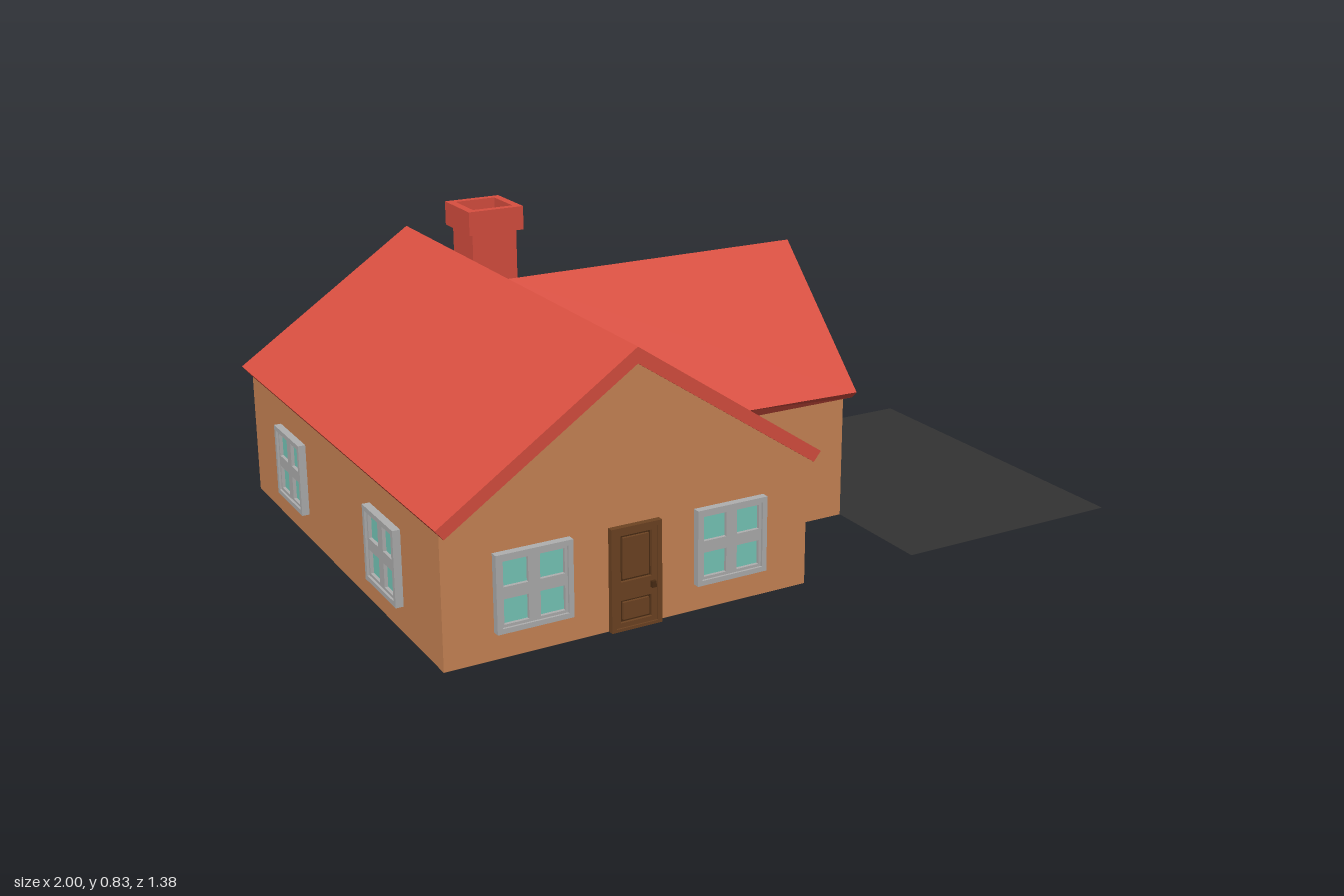
import * as THREE from 'three';

const mat = (color) => new THREE.MeshStandardMaterial({ color, side: THREE.DoubleSide, flatShading: true });
const WALL = mat(0xcb8656), ROOF = mat(0xd94f40), FRAME = mat(0xb0b0b0), GLASS = mat(0x78cabb);
const DOOR = mat(0x6e4423), DARK = mat(0x4a2c14), ASPHALT = mat(0x333333);

function add(parent, name, geometry, material, x = 0, y = 0, z = 0) {
  const mesh = new THREE.Mesh(geometry, material);
  mesh.name = name;
  mesh.position.set(x, y, z);
  parent.add(mesh);
  return mesh;
}

const box = (w, h, d) => new THREE.BoxGeometry(w, h, d);

// Closed rectangle path from corner to corner
function rect(PathType, x0, y0, x1, y1) {
  return new PathType([[x0, y0], [x1, y0], [x1, y1], [x0, y1]].map((p) => new THREE.Vector2(...p)));
}

// Plate in the xy plane with rectangular holes
function plate(outer, holes, depth) {
  const shape = rect(THREE.Shape, ...outer);
  shape.holes = holes.map((h) => rect(THREE.Path, ...h));
  return new THREE.ExtrudeGeometry(shape, { depth, bevelEnabled: false });
}

// Flat convex polygons as one geometry
function polygons(list) {
  const pos = [];
  for (const p of list)
    for (let i = 1; i < p.length - 1; i++) pos.push(...p[0], ...p[i], ...p[i + 1]);
  const g = new THREE.BufferGeometry();
  g.setAttribute('position', new THREE.Float32BufferAttribute(pos, 3));
  g.computeVertexNormals();
  return g;
}

// Slab between matching top and bottom outlines
function slab(top, bottom) {
  const sides = top.map((p, i) => {
    const j = (i + 1) % top.length;
    return [p, bottom[i], bottom[j], top[j]];
  });
  return polygons([top, [...bottom].reverse(), ...sides]);
}

// Four-pane window, its back on the wall, facing +z
function makeWindow() {
  const g = new THREE.Group();
  g.name = 'window';
  const h = 0.098, r = 0.085, a = 0.015, b = 0.078;
  add(g, 'windowRim', plate([-h, -h, h, h], [[-r, -r, r, r]], 0.024), FRAME, 0, 0, -0.004);
  const panes = [[-b, -b, -a, -a], [a, -b, b, -a], [a, a, b, b], [-b, a, -a, b]];
  add(g, 'windowBars', plate([-r, -r, r, r], panes, 0.012), FRAME, 0, 0, 0.002);
  add(g, 'glass', new THREE.PlaneGeometry(2 * r, 2 * r), GLASS, 0, 0, 0.005);
  return g;
}

function makeFrontDoor() {
  const g = new THREE.Group();
  g.name = 'frontDoor';
  add(g, 'doorSurround', plate([-0.068, 0, 0.068, 0.265], [[-0.056, 0.008, 0.056, 0.253]], 0.02), DOOR, 0, 0, -0.004);
  const panels = [[-0.042, 0.125, 0.042, 0.243], [-0.042, 0.02, 0.042, 0.078]];
  add(g, 'doorLeaf', plate([-0.056, 0.008, 0.056, 0.253], panels, 0.01), DOOR, 0, 0, 0.002);
  add(g, 'doorRecess', new THREE.PlaneGeometry(0.112, 0.245), DARK, 0, 0.13, 0.004);
  for (const [x0, y0, x1, y1] of panels)
    add(g, 'doorPanel', box(x1 - x0 - 0.014, y1 - y0 - 0.014, 0.008), DOOR, 0, (y0 + y1) / 2, 0.007);
  add(g, 'doorHandle', box(0.012, 0.016, 0.01), DARK, 0.044, 0.105, 0.016);
  return g;
}

function makeGarageDoor() {
  const g = new THREE.Group();
  g.name = 'garageDoor';
  add(g, 'garageFrame', plate([-0.265, 0, 0.265, 0.265], [[-0.25, 0.003, 0.25, 0.25]], 0.02), FRAME, 0, 0, -0.004);
  add(g, 'garageBacking', new THREE.PlaneGeometry(0.5, 0.25), FRAME, 0, 0.125, 0.003);
  // Overlapping slats, each leaning out at its foot
  const rows = 6, step = 0.25 / rows;
  for (let i = 0; i < rows; i++) {
    const slat = add(g, 'garageSlat', box(0.49, step - 0.003, 0.005), FRAME, 0, (i + 0.5) * step, 0.007);
    slat.rotation.x = -0.1;
  }
  return g;
}

export function createModel() {
  const house = new THREE.Group();
  house.name = 'house';

  // Walls: main block and garage wing form one open shell
  const W = -0.98, M = -0.49, E = 0, G = 0.34, D = 0.66, S = 0.33, H = 0.337, P = 0.665;
  const wallList = [
    [[W, 0, -D], [W, 0, D], [W, H, D], [W, H, -D]],
    [[G, 0, S], [G, 0, -S], [G, H, -S], [G, P, 0], [G, H, S]],
  ];
  for (const s of [1, -1]) {
    const faces = [
      [[W, 0, s * D], [E, 0, s * D], [E, H, s * D], [M, P, s * D], [W, H, s * D]],
      [[E, 0, s * D], [E, 0, s * S], [E, H, s * S], [E, H, s * D]],
      [[E, 0, s * S], [G, 0, s * S], [G, H, s * S], [E, H, s * S]],
    ];
    wallList.push(...faces.map((f) => (s > 0 ? f : f.reverse())));
  }
  add(house, 'walls', polygons(wallList), WALL);

  // Roof: full west slope, then east and wing slopes meeting in valleys
  const roof = new THREE.Group();
  roof.name = 'roof';
  house.add(roof);
  const R = 0.705, T = 0.36, B = 0.335, L = 0.69, X = 0.37;
  add(roof, 'westSlope', slab(
    [[M, R, -L], [-1, T, -L], [-1, T, L], [M, R, L]],
    [[M, P, -L], [W, B, -L], [W, B, L], [M, P, L]]), ROOF);
  for (const s of [1, -1]) {
    const order = (pts) => {
      const out = pts.map(([x, y, z]) => [x, y, s * z]);
      return s > 0 ? out : out.reverse();
    };
    add(roof, 'eastSlope', slab(
      order([[M, R, 0], [M, R, L], [0.02, T, L], [0.02, T, 0.345]]),
      order([[M, P, 0], [M, P, L], [0, B, L], [0, B, S]])), ROOF);
    add(roof, 'wingSlope', slab(
      order([[M, R, 0], [0.02, T, 0.345], [X, 0.355, 0.35], [X, R, 0]]),
      order([[M, P, 0], [0, B, S], [X, B, S], [X, P, 0]])), ROOF);
  }

  // Chimney: square stack with a wider hollow cap
  const chimney = new THREE.Group();
  chimney.name = 'chimney';
  chimney.position.set(-0.405, 0, -0.33);
  house.add(chimney);
  add(chimney, 'chimneyStack', box(0.13, 0.19, 0.13), ROOF, 0, 0.675, 0);
  const cap = plate([-0.08, -0.08, 0.08, 0.08], [[-0.058, -0.058, 0.058, 0.058]], 0.065);
  add(chimney, 'chimneyCap', cap.rotateX(-Math.PI / 2), ROOF, 0, 0.765, 0);

  // Windows, two on each side of the main block: x, z, heading
  const Y = 0.168, Q = Math.PI / 2;
  const spots = [
    [-0.755, D, 0], [-0.225, D, 0],
    [-0.325, -D, 2 * Q], [-0.655, -D, 2 * Q],
    [E, 0.495, Q], [E, -0.495, Q],
    [W, 0.33, -Q], [W, -0.33, -Q],
  ];
  for (const [x, z, turn] of spots) {
    const win = makeWindow();
    win.position.set(x, Y, z);
    win.rotation.y = turn;
    house.add(win);
  }

  // Doors
  const door = makeFrontDoor();
  door.position.set(-0.488, 0, D);
  const garage = makeGarageDoor();
  garage.position.set(G, 0, 0);
  garage.rotation.y = Q;
  house.add(door, garage);

  // Driveway
  const drive = new THREE.PlaneGeometry(0.66, 0.985).rotateX(-Q);
  add(house, 'driveway', drive, ASPHALT, 0.67, 0, 0.163);

  return house;
}
